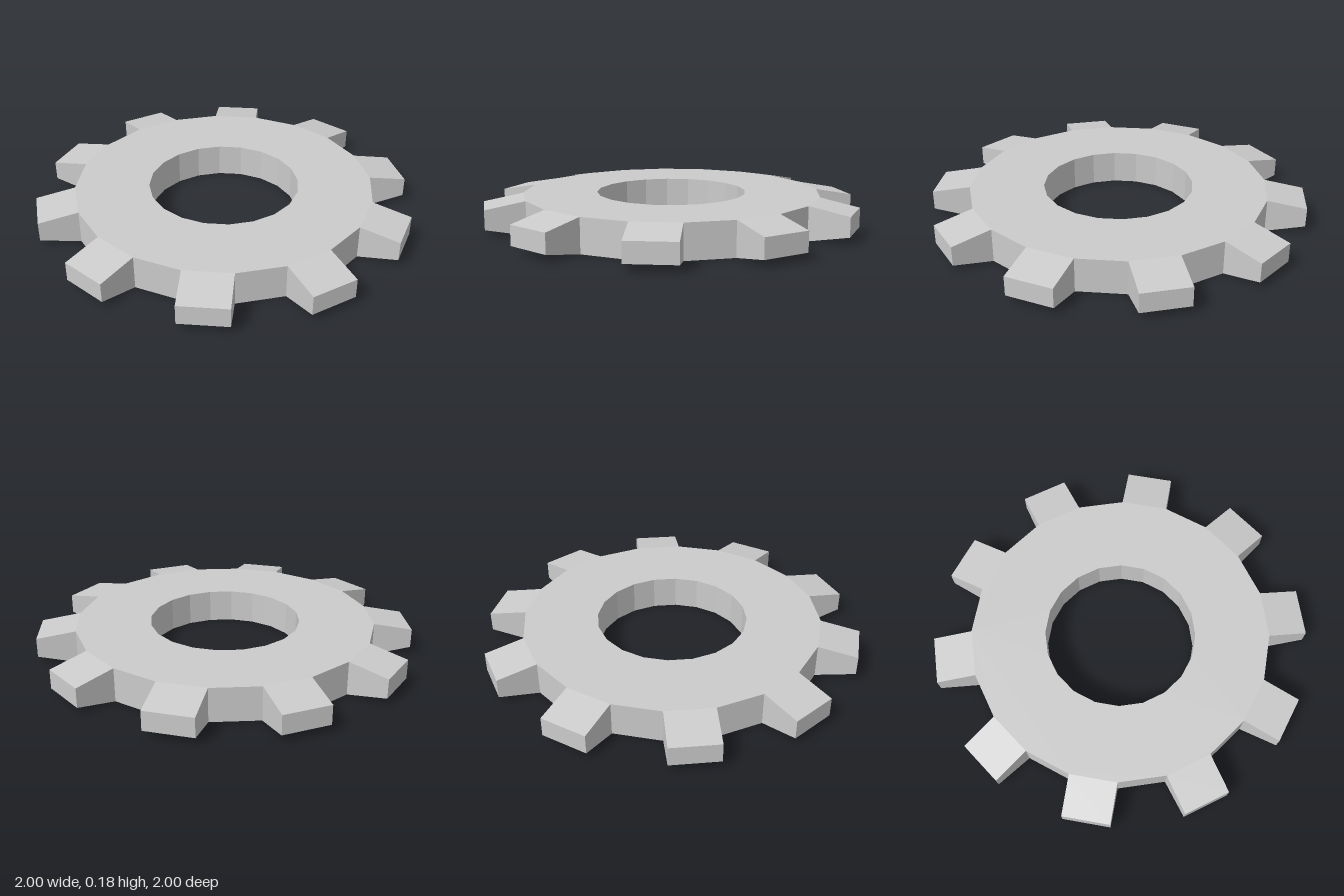
import * as THREE from 'three';

const SIDES = 20, TEETH = 10;
const OUTER = 0.795, INNER = 0.4, HEIGHT = 0.178;
const TOOTH_LENGTH = 0.207, TIP_HEIGHT = 0.102;

// Regular polygon with its first corner on the x axis
function polygon(radius) {
  const points = [];
  for (let i = 0; i < SIDES; i++) {
    const a = (i / SIDES) * Math.PI * 2;
    points.push(new THREE.Vector2(Math.cos(a) * radius, Math.sin(a) * radius));
  }
  return points;
}

// Box whose outer end is squeezed in height; its inner end lies on a ring facet
function toothGeometry() {
  const apothem = OUTER * Math.cos(Math.PI / SIDES);
  const width = 2 * OUTER * Math.sin(Math.PI / SIDES);
  const geometry = new THREE.BoxGeometry(TOOTH_LENGTH, HEIGHT, width);
  const pos = geometry.attributes.position;
  for (let i = 0; i < pos.count; i++) {
    if (pos.getX(i) > 0) pos.setY(i, Math.sign(pos.getY(i)) * TIP_HEIGHT / 2);
  }
  geometry.translate(apothem + TOOTH_LENGTH / 2, HEIGHT / 2, 0);
  geometry.computeVertexNormals();
  return geometry;
}

export function createModel() {
  const gear = new THREE.Group();
  gear.name = 'gear';
  const material = new THREE.MeshStandardMaterial({ color: 0xcccccc, flatShading: true });

  // Flat ring with a faceted centre hole
  const shape = new THREE.Shape(polygon(OUTER));
  shape.holes.push(new THREE.Path(polygon(INNER)));
  const ringGeometry = new THREE.ExtrudeGeometry(shape, { depth: HEIGHT, bevelEnabled: false });
  ringGeometry.rotateX(-Math.PI / 2);
  const ring = new THREE.Mesh(ringGeometry, material);
  ring.name = 'ring';
  gear.add(ring);

  // Tapered teeth on every other facet
  const teeth = new THREE.Group();
  teeth.name = 'teeth';
  const geometry = toothGeometry();
  for (let i = 0; i < TEETH; i++) {
    const tooth = new THREE.Mesh(geometry, material);
    tooth.name = `tooth${i + 1}`;
    tooth.rotation.y = (i / TEETH) * Math.PI * 2 + Math.PI / SIDES;
    teeth.add(tooth);
  }
  gear.add(teeth);

  return gear;
}
